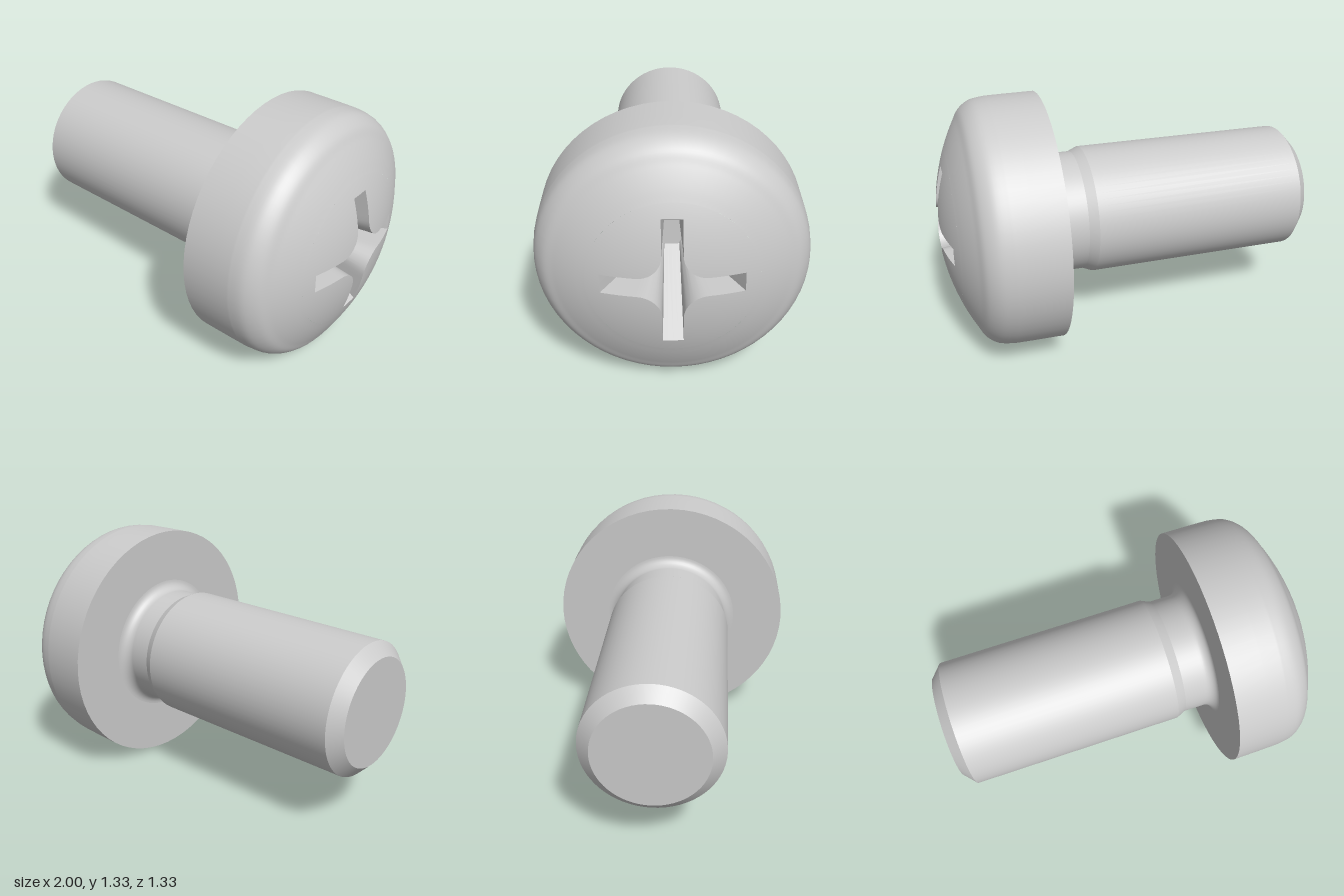
import * as THREE from 'three';
import { toCreasedNormals } from 'three/addons/utils/BufferGeometryUtils.js';

const SEGMENTS = 64;
const DOME_R = 1.12;       // sphere radius of the head's crown
const PATCH_R = 0.4;       // crown area around the recess
const RECESS_FLOOR = 0.52;
const crown = (r) => 1 - DOME_R + Math.sqrt(DOME_R * DOME_R - r * r);

// Closed cross outline: arm length, arm half width, distance where the corner fillet starts
function crossOutline(length, half, fillet) {
  const arm = [];
  const lerp = THREE.MathUtils.lerp;
  for (let i = 0; i < 6; i++) arm.push([-half, lerp(fillet, length, i / 6)]);
  for (let i = 0; i < 4; i++) arm.push([lerp(-half, half, i / 4), length]);
  for (let i = 0; i < 6; i++) arm.push([half, lerp(length, fillet, i / 6)]);
  for (let i = 0; i < 10; i++) {
    const t = (i / 10) * Math.PI / 2;
    const rad = fillet - half;
    arm.push([fillet - rad * Math.cos(t), fillet - rad * Math.sin(t)]);
  }
  const outline = [];
  for (let k = 0; k < 4; k++) {
    for (const [x, z] of arm) {
      outline.push([[x, z], [z, -x], [-x, -z], [-z, x]][k]);
    }
  }
  return outline;
}

// Skin closed rings of Vector3, ordered from outside to inside
function skin(rings) {
  const n = rings[0].length;
  const position = rings.flat().flatMap((p) => [p.x, p.y, p.z]);
  const index = [];
  for (let j = 0; j < rings.length - 1; j++) {
    for (let i = 0; i < n; i++) {
      const a = j * n + i, b = j * n + (i + 1) % n;
      index.push(a, b, a + n, b + n, a + n, b);
    }
  }
  const geometry = new THREE.BufferGeometry();
  geometry.setAttribute('position', new THREE.Float32BufferAttribute(position, 3));
  geometry.setIndex(index);
  return geometry;
}

export function createModel() {
  const material = new THREE.MeshStandardMaterial({ color: 0xcccccc });
  const screw = new THREE.Group();
  screw.name = 'screw';

  const add = (name, geometry) => {
    const mesh = new THREE.Mesh(geometry, material);
    mesh.name = name;
    screw.add(mesh);
  };
  // Profiles are [radius, distance along axis]; separate bands keep the edges sharp
  const turn = (name, profile) => add(name, new THREE.LatheGeometry(
    profile.map(([r, a]) => new THREE.Vector2(r, a)), SEGMENTS));

  // Shank
  turn('shankEnd', [[0, -1], [0.28, -1]]);
  turn('shankChamfer', [[0.28, -1], [0.345, -0.94]]);
  turn('shank', [[0.345, -0.94], [0.345, 0.21]]);
  turn('neckTaper', [[0.345, 0.21], [0.323, 0.26]]);

  // Neck with the fillet running into the head
  const neck = [[0.323, 0.26]];
  for (let i = 0; i <= 8; i++) {
    const t = (i / 8) * Math.PI / 2;
    neck.push([0.378 - 0.055 * Math.cos(t), 0.375 + 0.055 * Math.sin(t)]);
  }
  turn('neck', neck);

  // Head: flat underside, then the rounded side up to the crown
  turn('headUnderside', [[0.378, 0.43], [0.664, 0.43]]);
  const shoulder = new THREE.SplineCurve([
    [0.66, 0.69], [0.646, 0.765], [0.605, 0.823], [0.55, crown(0.55)],
    [0.5, crown(0.5)], [0.45, crown(0.45)], [PATCH_R, crown(PATCH_R)],
  ].map(([r, a]) => new THREE.Vector2(r, a))).getPoints(30);
  turn('headSide', [[0.664, 0.43], [0.662, 0.6], ...shoulder.map((p) => [p.x, p.y])]);

  // Crown around the cross opening, with exact sphere normals
  const rim = crossOutline(0.33, 0.049, 0.165);
  const crownRings = [];
  for (let j = 0; j <= 6; j++) {
    crownRings.push(rim.map(([x, z]) => {
      const r0 = Math.hypot(x, z);
      const r = THREE.MathUtils.lerp(PATCH_R, r0, j / 6);
      return new THREE.Vector3(x * r / r0, crown(r), z * r / r0);
    }));
  }
  const crownGeometry = skin(crownRings);
  const normals = crownRings.flat().flatMap((p) =>
    [p.x / DOME_R, (p.y - 1 + DOME_R) / DOME_R, p.z / DOME_R]);
  crownGeometry.setAttribute('normal', new THREE.Float32BufferAttribute(normals, 3));
  add('headCrown', crownGeometry);

  // Tapered cross recess and its small flat floor
  const foot = crossOutline(0.068, 0.038, 0.068);
  const top = rim.map(([x, z]) => new THREE.Vector3(x, crown(Math.hypot(x, z)), z));
  const bottom = foot.map(([x, z]) => new THREE.Vector3(x, RECESS_FLOOR, z));
  const centre = foot.map(() => new THREE.Vector3(0, RECESS_FLOOR, 0));
  add('driveRecess', toCreasedNormals(skin([top, bottom]), 0.5));
  add('recessFloor', toCreasedNormals(skin([bottom, centre]), 0.5));

  // Lay the axis along x with a one degree rise and a slight roll
  screw.rotation.set(0, 0.01, -Math.PI / 2 + 0.0175, 'ZYX');
  screw.position.y = 0.656;

  const model = new THREE.Group();
  model.name = 'panHeadScrew';
  model.add(screw);
  return model;
}
